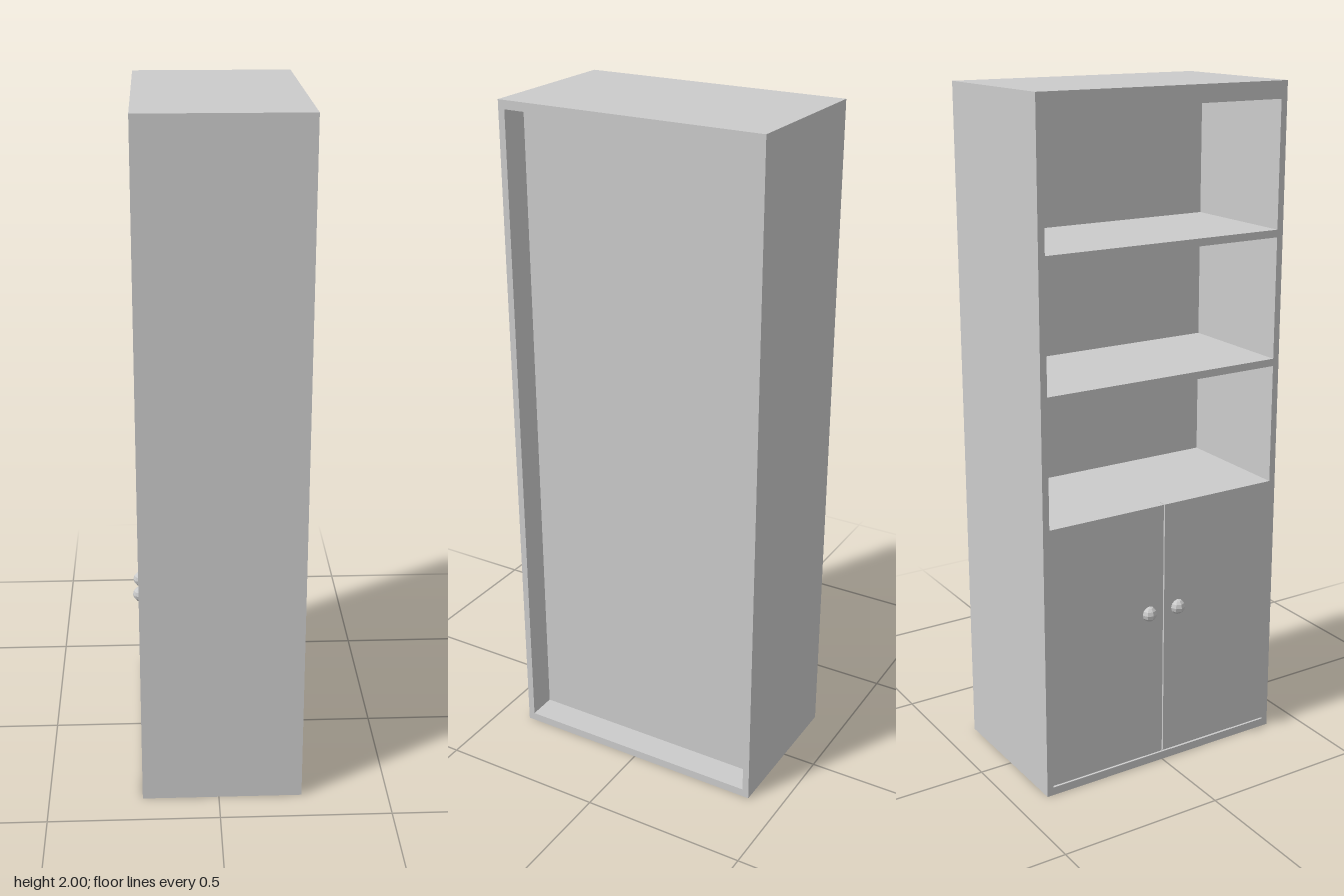
import * as THREE from 'three';

const material = new THREE.MeshStandardMaterial({ color: 0xcccccc, flatShading: true });

// Overall extents: the open shelves and doors face -x, the recessed back faces +x
const FRONT = -0.225, BACK = 0.245, HALF = 0.4, HEIGHT = 2;
const SIDE = 0.02, BOARD = 0.025;
const INNER = HALF - SIDE;
const PANEL = 0.155; // inner face of the back panel

export function createModel() {
  const group = new THREE.Group();

  // Box given by its lower and upper limits on each axis
  function board(name, x0, x1, y0, y1, z0, z1) {
    const mesh = new THREE.Mesh(new THREE.BoxGeometry(x1 - x0, y1 - y0, z1 - z0), material);
    mesh.position.set((x0 + x1) / 2, (y0 + y1) / 2, (z0 + z1) / 2);
    mesh.name = name;
    group.add(mesh);
  }

  // Carcass
  board('topBoard', FRONT, BACK, HEIGHT - BOARD, HEIGHT, -HALF, HALF);
  board('bottomBoard', FRONT, BACK, 0, BOARD, -HALF, HALF);
  board('rightSide', FRONT, BACK, BOARD, HEIGHT - BOARD, -HALF, -INNER);
  board('leftSide', FRONT, BACK, BOARD, HEIGHT - BOARD, INNER, HALF);
  board('backPanel', PANEL, PANEL + 0.004, BOARD, HEIGHT - BOARD, -INNER, INNER);
  board('ceiling', FRONT, PANEL, 1.95, HEIGHT - BOARD, -INNER, INNER);

  // Three open shelves; the lowest one roofs the cupboard behind the doors
  for (const top of [0.825, 1.205, 1.585]) {
    const front = top < 1 ? FRONT + 0.02 : FRONT;
    board('shelf', front, PANEL, top - 0.022, top, -INNER, INNER);
  }

  // Pair of doors with faceted round knobs
  for (const s of [-1, 1]) {
    const edges = [s * 0.002, s * INNER].sort((a, b) => a - b);
    board('door', FRONT, FRONT + 0.02, 0.03, 0.825, ...edges);
    const knob = new THREE.Mesh(new THREE.SphereGeometry(0.023, 8, 6), material);
    knob.position.set(FRONT, 0.495, s * 0.05);
    knob.name = 'knob';
    group.add(knob);
  }
  return group;
}
